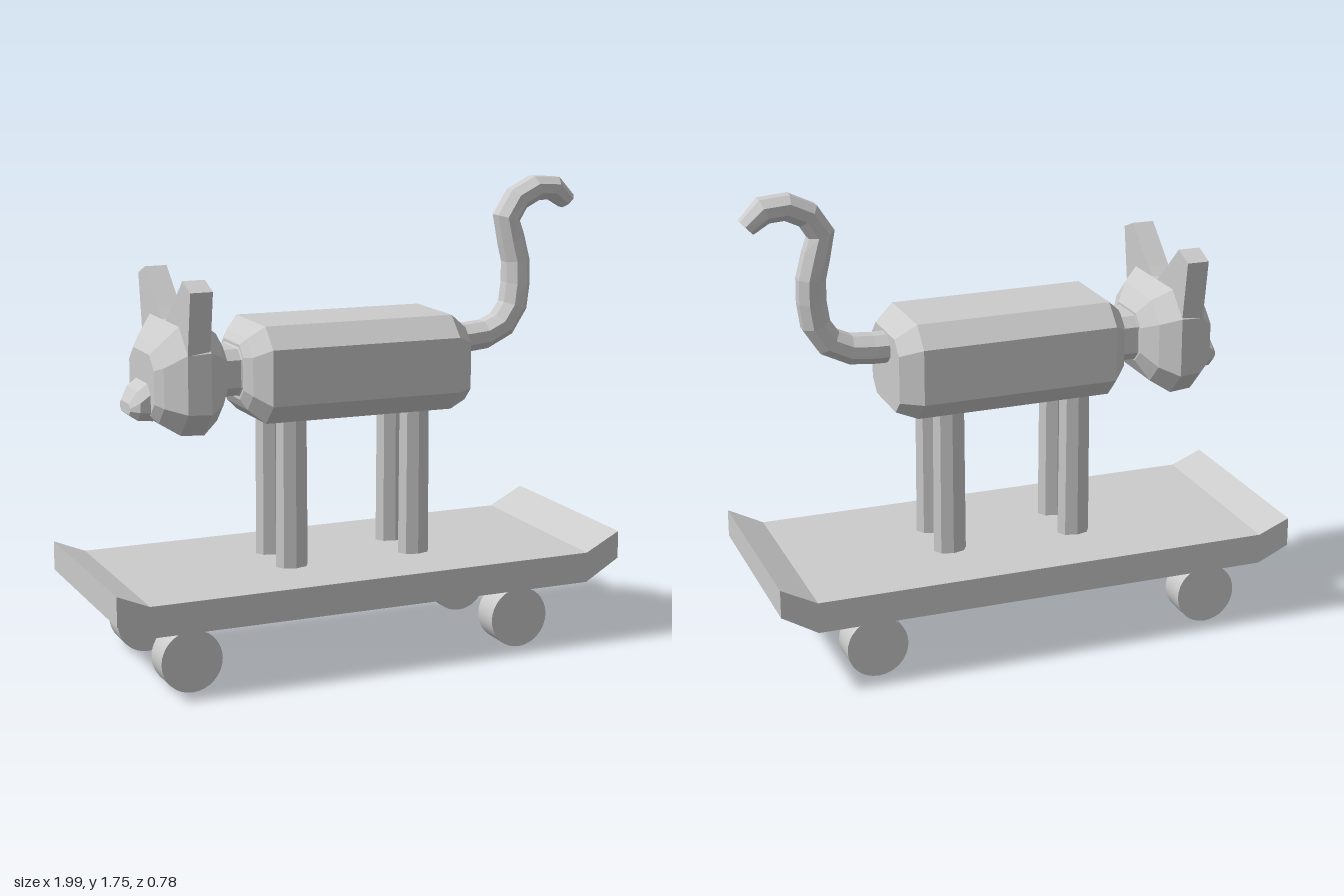
import * as THREE from 'three';

const flat = new THREE.MeshStandardMaterial({ color: 0xcccccc, flatShading: true });
const smooth = new THREE.MeshStandardMaterial({ color: 0xcccccc });

// Skin a row of closed rings (running towards +x) and cap both ends.
function loft(rings) {
  const pos = [];
  const tri = (...pts) => pts.forEach((p) => pos.push(p.x, p.y, p.z));
  const middle = (ring) => ring.reduce((s, p) => s.add(p), new THREE.Vector3()).divideScalar(ring.length);
  const n = rings[0].length, last = rings[rings.length - 1];
  const startMid = middle(rings[0]), endMid = middle(last);
  for (let j = 0; j < n; j++) {
    const k = (j + 1) % n;
    for (let i = 0; i < rings.length - 1; i++) {
      const a = rings[i], b = rings[i + 1];
      tri(a[j], a[k], b[k]);
      tri(a[j], b[k], b[j]);
    }
    tri(startMid, rings[0][k], rings[0][j]);
    tri(endMid, last[j], last[k]);
  }
  const geo = new THREE.BufferGeometry();
  geo.setAttribute('position', new THREE.Float32BufferAttribute(pos, 3));
  geo.computeVertexNormals();
  return geo;
}

// Rectangle with cut corners, standing across the x axis.
function octagon([x, low, high, w, c]) {
  return [
    [high, -w + c], [high, w - c], [high - c, w], [low + c, w],
    [low, w - c], [low, -w + c], [low + c, -w], [high - c, -w],
  ].map(([y, z]) => new THREE.Vector3(x, y, z));
}

function extrude(points, depth) {
  const shape = new THREE.Shape(points.map(([x, y]) => new THREE.Vector2(x, y)));
  return new THREE.ExtrudeGeometry(shape, { depth, bevelEnabled: false });
}

export function createModel() {
  const model = new THREE.Group();
  const add = (name, geometry, material = flat) => {
    const mesh = new THREE.Mesh(geometry, material);
    mesh.name = name;
    model.add(mesh);
    return mesh;
  };

  // Skateboard deck with upturned ends
  add('deck', extrude([
    [-0.88, 0.25], [0.85, 0.25], [0.985, 0.33], [0.985, 0.435],
    [0.85, 0.365], [-0.88, 0.365], [-1, 0.415], [-1, 0.305],
  ], 0.78).translate(0, 0, -0.39));

  // Wheels
  for (const x of [-0.7, 0.61]) {
    for (const z of [-0.255, 0.25]) {
      const wheel = add('wheel', new THREE.CylinderGeometry(0.115, 0.115, 0.112, 32), smooth);
      wheel.rotation.x = Math.PI / 2;
      wheel.position.set(x, 0.117, z);
    }
  }

  // Legs
  for (const [name, x] of [['frontLeg', -0.235], ['hindLeg', 0.26]]) {
    for (const z of [-0.1, 0.104]) {
      const leg = add(name, new THREE.CylinderGeometry(0.06, 0.063, 0.6, 8));
      leg.scale.z = 0.72;
      leg.position.set(x, 0.66, z);
    }
  }

  // Body, neck, head and muzzle: x, bottom, top, half width, corner cut
  add('body', loft([
    [-0.425, 1.0, 1.2, 0.12, 0.04],
    [-0.405, 0.965, 1.225, 0.165, 0.06],
    [-0.35, 0.917, 1.272, 0.222, 0.075],
    [0.39, 0.912, 1.267, 0.222, 0.075],
    [0.465, 0.935, 1.21, 0.163, 0.05],
  ].map(octagon)));
  add('neck', loft([
    [-0.53, 1.0, 1.2, 0.12, 0.04],
    [-0.485, 1.015, 1.185, 0.11, 0.035],
    [-0.43, 1.015, 1.185, 0.11, 0.035],
    [-0.4, 0.99, 1.21, 0.13, 0.04],
  ].map(octagon)));
  add('head', loft([
    [-0.768, 0.97, 1.19, 0.14, 0.05],
    [-0.745, 0.945, 1.22, 0.18, 0.065],
    [-0.68, 0.905, 1.295, 0.25, 0.09],
    [-0.595, 0.9, 1.3, 0.258, 0.09],
    [-0.53, 0.94, 1.255, 0.2, 0.075],
    [-0.487, 1.01, 1.195, 0.125, 0.045],
  ].map(octagon)));
  add('muzzle', loft([
    [-0.832, 0.97, 1.01, 0.06, 0.015],
    [-0.805, 0.95, 1.055, 0.097, 0.035],
    [-0.75, 0.945, 1.095, 0.1, 0.035],
  ].map(octagon)));

  // Ears
  for (const s of [-1, 1]) {
    const ear = extrude([
      [0, 1.28], [0, 1.1], [0.24, 1.1], [0.25, 1.2], [0.285, 1.43], [0.205, 1.462], [0.06, 1.33],
    ].map(([z, y]) => [s * z, y]), 0.083);
    add('ear', ear.rotateY(Math.PI / 2).translate(-0.68, 0, 0));
  }

  // Tail: curved centre line with a thickness at each point
  const path = new THREE.CatmullRomCurve3([
    [0.43, 1.15, 0], [0.55, 1.153, 0], [0.645, 1.172, 0], [0.715, 1.245, 0],
    [0.737, 1.38, -0.005], [0.73, 1.48, -0.01], [0.695, 1.585, -0.012], [0.745, 1.67, -0.015],
    [0.85, 1.71, -0.02], [0.925, 1.69, -0.028], [0.968, 1.648, -0.035],
  ].map((p) => new THREE.Vector3(...p)));
  const rings = [];
  for (let i = 0; i <= 12; i++) {
    const p = path.getPointAt(i / 12), t = path.getTangentAt(i / 12);
    const r = i === 12 ? 0.038 : 0.061 - 0.0008 * i;
    rings.push(Array.from({ length: 8 }, (_, j) => {
      const a = ((j + 0.5) / 8) * Math.PI * 2, u = Math.cos(a) * r * 0.95, v = Math.sin(a) * r * 1.1;
      return new THREE.Vector3(p.x - t.y * u, p.y + t.x * u, p.z + v);
    }));
  }
  add('tail', loft(rings));

  return model;
}
